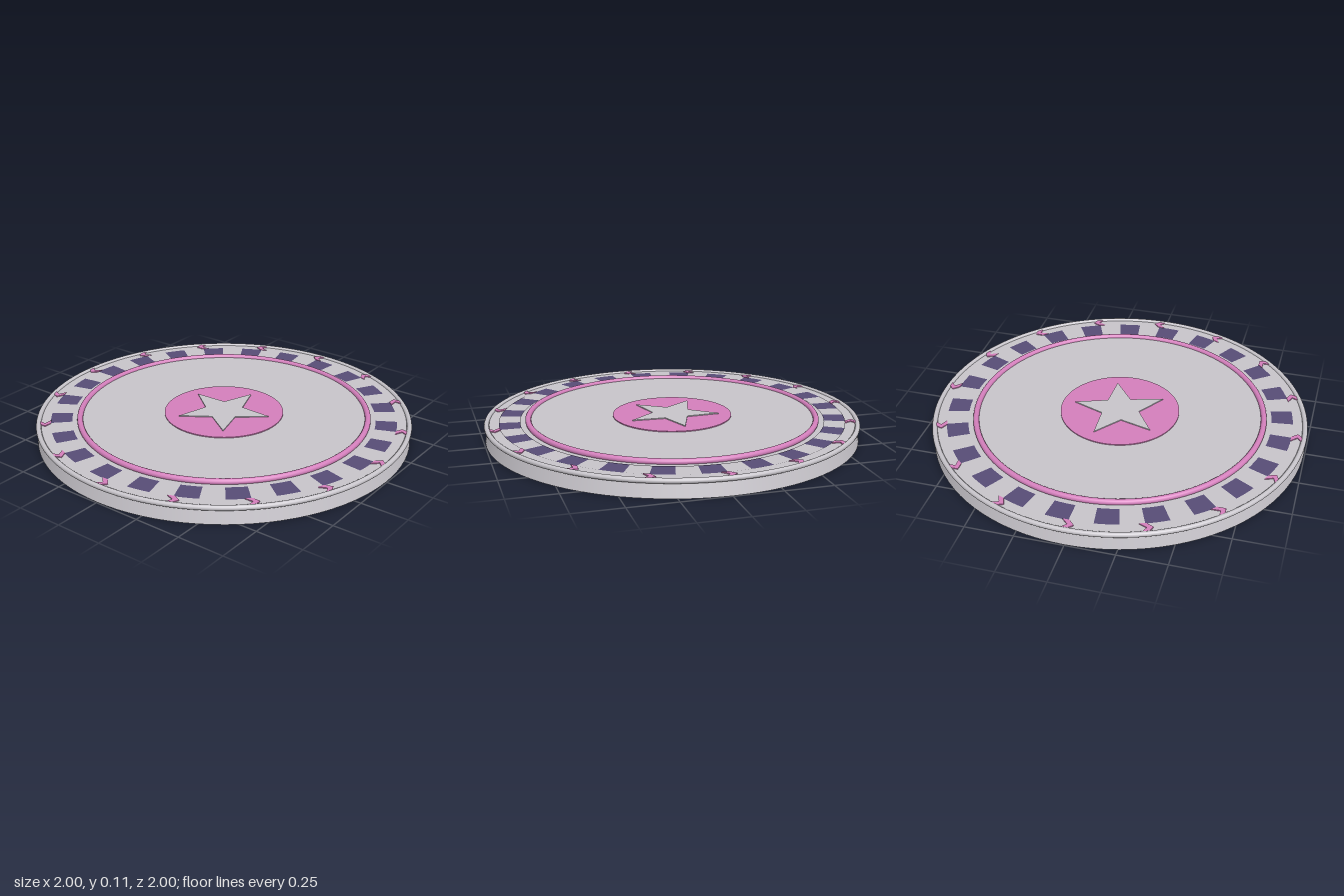
import * as THREE from 'three';
import { mergeGeometries } from 'three/addons/utils/BufferGeometryUtils.js';

const material = (name, color) => {
  const m = new THREE.MeshStandardMaterial({ color });
  m.name = name;
  return m;
};

// Flat plate from a shape drawn in plan: x right, shape y towards -z
const plate = (shape, depth, y) =>
  new THREE.ExtrudeGeometry(shape, { depth, bevelEnabled: false, curveSegments: 48 })
    .rotateX(-Math.PI / 2).translate(0, y, 0);

const polygon = (points) => new THREE.Shape(points.map(([x, y]) => new THREE.Vector2(x, y)));

export function createModel() {
  const grey = material('pale grey', 0xc8c5cb);
  const pink = material('pink', 0xd580bd);
  const purple = material('dark purple', 0x584d77);

  const model = new THREE.Group();
  model.name = 'roundPlatform';
  const add = (name, geometry, mat) => {
    const mesh = new THREE.Mesh(geometry, mat);
    mesh.name = name;
    model.add(mesh);
  };
  const disc = (top, bottom, y0, y1) =>
    new THREE.CylinderGeometry(top, bottom, y1 - y0, 96).translate(0, (y0 + y1) / 2, 0);
  const hoop = (radius, tube, y) =>
    new THREE.TorusGeometry(radius, tube, 14, 128).rotateX(Math.PI / 2).translate(0, y, 0);

  // Tapered body and rounded rim
  add('base', disc(0.972, 0.995, 0, 0.088), grey);
  add('outerRim', hoop(0.986, 0.0135, 0.084), grey);

  // Raised centre with its pink border
  add('centrePlate', disc(0.765, 0.765, 0.08, 0.098), grey);
  add('innerRing', hoop(0.768, 0.0155, 0.098), pink);

  // Checkered band: 24 light and 24 dark tiles
  const step = Math.PI / 24;
  const tiles = [[], []];
  for (let i = 0; i < 48; i++) {
    tiles[i % 2].push(new THREE.RingGeometry(0.81, 0.922, 4, 1, i * step, step)
      .rotateX(-Math.PI / 2).translate(0, 0.0905, 0));
  }
  add('lightTiles', mergeGeometries(tiles[0]), grey);
  add('darkTiles', mergeGeometries(tiles[1]), purple);

  // Sixteen arrow marks running counter-clockwise round the edge
  const chevron = polygon([[-0.03, -0.032], [0.005, -0.032], [0.035, 0], [0.005, 0.032],
    [-0.03, 0.032], [0.003, 0]].map(([x, y]) => [0.952 - y, x]));
  const marks = [];
  for (let i = 0; i < 16; i++) {
    marks.push(plate(chevron, 0.007, 0.086).rotateY(i * Math.PI / 8));
  }
  add('arrowMarks', mergeGeometries(marks), pink);

  // Central medallion and star
  add('medallion', disc(0.318, 0.318, 0.096, 0.103), pink);
  const star = [];
  for (let i = 0; i < 10; i++) {
    const r = i % 2 ? 0.104 : 0.25;
    const a = Math.PI / 2 + i * Math.PI / 5;
    star.push([r * Math.cos(a), r * Math.sin(a)]);
  }
  add('star', plate(polygon(star), 0.008, 0.1), grey);

  return model;
}
